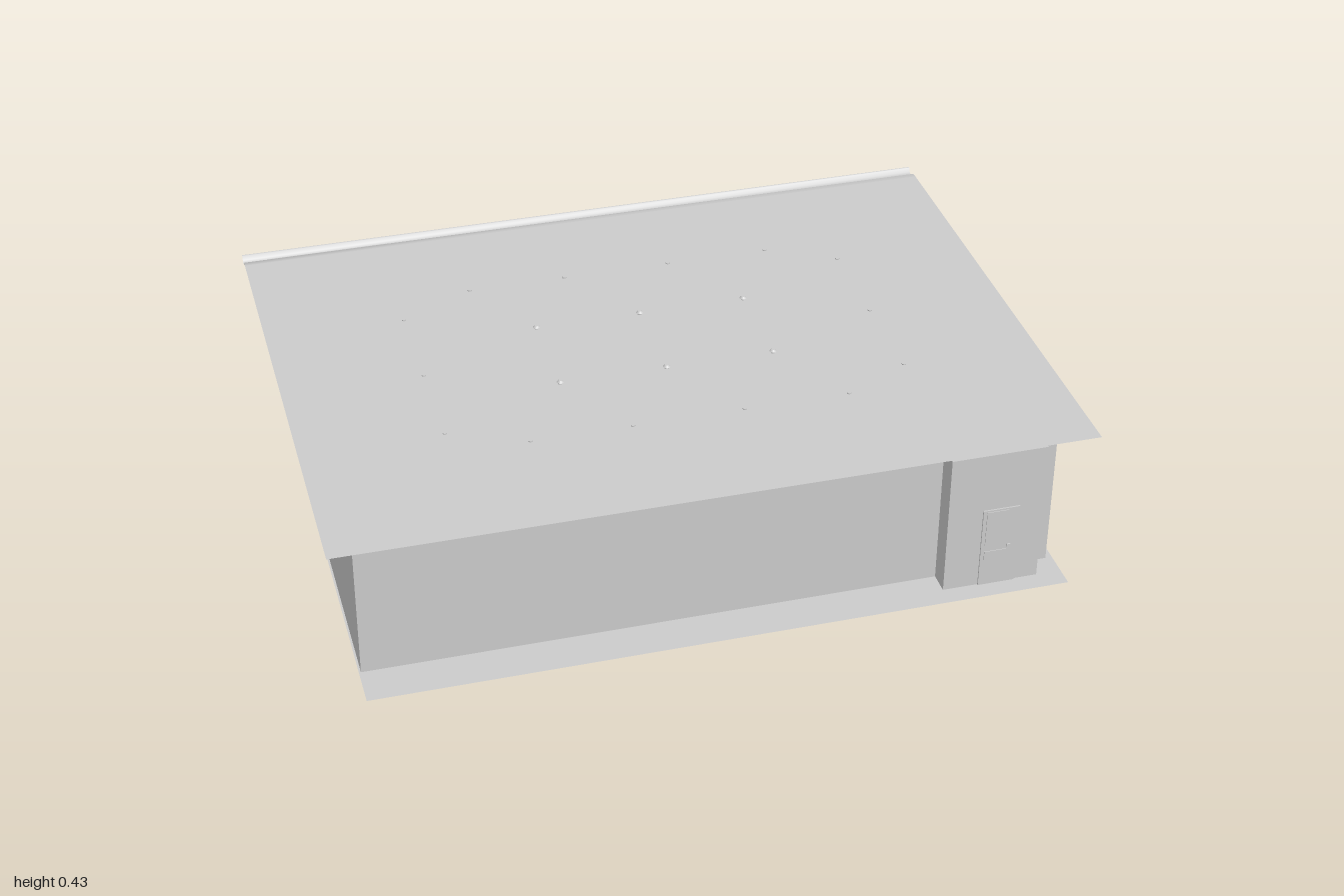
import * as THREE from 'three';

const grey = new THREE.MeshStandardMaterial({ color: 0xcccccc });
const sheet = new THREE.MeshStandardMaterial({ color: 0xcccccc, side: THREE.DoubleSide });
const ROOF_Y = 0.415;

export function createModel() {
  const root = new THREE.Group();
  root.name = 'warehouse';

  const add = (parent, name, geometry, material = grey) => {
    const mesh = new THREE.Mesh(geometry, material);
    mesh.name = name;
    parent.add(mesh);
    return mesh;
  };
  // Box given by its limits on each axis
  const block = (parent, name, [x0, x1], [y0, y1], [z0, z1]) =>
    add(parent, name, new THREE.BoxGeometry(x1 - x0, y1 - y0, z1 - z0)
      .translate((x0 + x1) / 2, (y0 + y1) / 2, (z0 + z1) / 2));
  // Thin horizontal sheet
  const slab = (name, x0, x1, z0, z1, y) =>
    add(root, name, new THREE.PlaneGeometry(x1 - x0, z1 - z0).rotateX(-Math.PI / 2)
      .translate((x0 + x1) / 2, y, (z0 + z1) / 2), sheet);

  slab('groundSlab', -0.935, 0.925, -0.79, 0.79, 0);
  slab('roof', -1, 1, -0.675, 0.74, ROOF_Y);

  // Walls: plan outline with the projecting front bay and rear loading bay
  const plan = [[-0.93, 0.68], [0.595, 0.68], [0.595, 0.74], [0.855, 0.74], [0.855, 0.68],
    [0.905, 0.68], [0.905, -0.62], [-0.59, -0.62], [-0.59, -0.7], [-0.93, -0.7]];
  const outline = new THREE.Shape(plan.map(([x, z]) => new THREE.Vector2(x, -z)));
  add(root, 'walls', new THREE.ExtrudeGeometry(outline, { depth: 0.408, bevelEnabled: false })
    .rotateX(-Math.PI / 2).translate(0, 0.003, 0));

  // Open gutter along the rear eave: [z, y] profile swept across the full width
  const profile = [[-0.675, ROOF_Y], [-0.695, 0.413], [-0.701, 0.404], [-0.712, 0.4],
    [-0.724, 0.404], [-0.729, ROOF_Y], [-0.735, ROOF_Y]];
  const gutter = new THREE.PlaneGeometry(2, 1, 1, profile.length - 1);
  const pos = gutter.attributes.position;
  for (let i = 0; i < pos.count; i++) {
    const [z, y] = profile[Math.floor(i / 2)];
    pos.setXYZ(i, i % 2 ? -1 : 1, y, z);
  }
  gutter.computeVertexNormals();
  add(root, 'gutter', gutter, sheet);

  // Roof vents: six capped vents in the middle
  const vents = new THREE.Group();
  vents.name = 'roofVents';
  root.add(vents);
  for (const x of [-0.28, 0.01, 0.305]) {
    for (const z of [-0.14, 0.14]) {
      const vent = new THREE.Group();
      vent.name = 'cappedVent';
      vent.position.set(x, ROOF_Y, z);
      vents.add(vent);
      add(vent, 'ventStem', new THREE.CylinderGeometry(0.006, 0.006, 0.006, 12).translate(0, 0.003, 0));
      add(vent, 'ventCap', new THREE.CylinderGeometry(0.005, 0.01, 0.005, 12).translate(0, 0.0075, 0));
    }
  }
  // Small drains in a ring around them
  const drains = [];
  for (const x of [-0.415, -0.145, 0.155, 0.44]) drains.push([x, -0.38], [x, 0.38]);
  for (const z of [-0.275, 0.01, 0.29]) drains.push([-0.62, z], [0.625, z - 0.005]);
  for (const [x, z] of drains) {
    add(vents, 'roofDrain', new THREE.CylinderGeometry(0.006, 0.006, 0.003, 10)
      .translate(x, ROOF_Y + 0.0015, z));
  }

  // Rear loading dock: deep surround, sectional door and dock plate
  const dock = new THREE.Group();
  dock.name = 'loadingDock';
  root.add(dock);
  const frame = new THREE.Shape([[-0.845, 0.06], [-0.69, 0.06], [-0.69, 0.3], [-0.845, 0.3]]
    .map(([x, y]) => new THREE.Vector2(x, y)));
  frame.holes.push(new THREE.Path([[-0.825, 0.07], [-0.825, 0.27], [-0.71, 0.27], [-0.71, 0.07]]
    .map(([x, y]) => new THREE.Vector2(x, y))));
  add(dock, 'dockSurround', new THREE.ExtrudeGeometry(frame, { depth: 0.055, bevelEnabled: false })
    .translate(0, 0, -0.755));
  for (let i = 0; i < 4; i++) {
    const y = 0.07 + i * 0.05;
    block(dock, 'doorSection', [-0.825, -0.71], [y + 0.001, y + 0.049], [-0.706, -0.699]);
  }
  for (const x of [-0.795, -0.768, -0.741]) {
    block(dock, 'doorWindow', [x - 0.007, x + 0.007], [0.19, 0.2], [-0.708, -0.7]);
  }
  block(dock, 'dockPlate', [-0.835, -0.7], [0.003, 0.06], [-0.72, -0.699]);

  // Front entrance: leaf with upper panel, rail and handle
  const door = new THREE.Group();
  door.name = 'entranceDoor';
  root.add(door);
  block(door, 'doorLeaf', [0.69, 0.79], [0.003, 0.24], [0.739, 0.744]);
  block(door, 'doorPanel', [0.7, 0.76], [0.13, 0.235], [0.743, 0.746]);
  block(door, 'doorRail', [0.7, 0.76], [0.085, 0.11], [0.743, 0.746]);
  block(door, 'doorHandle', [0.76, 0.77], [0.117, 0.125], [0.743, 0.748]);

  return root;
}
